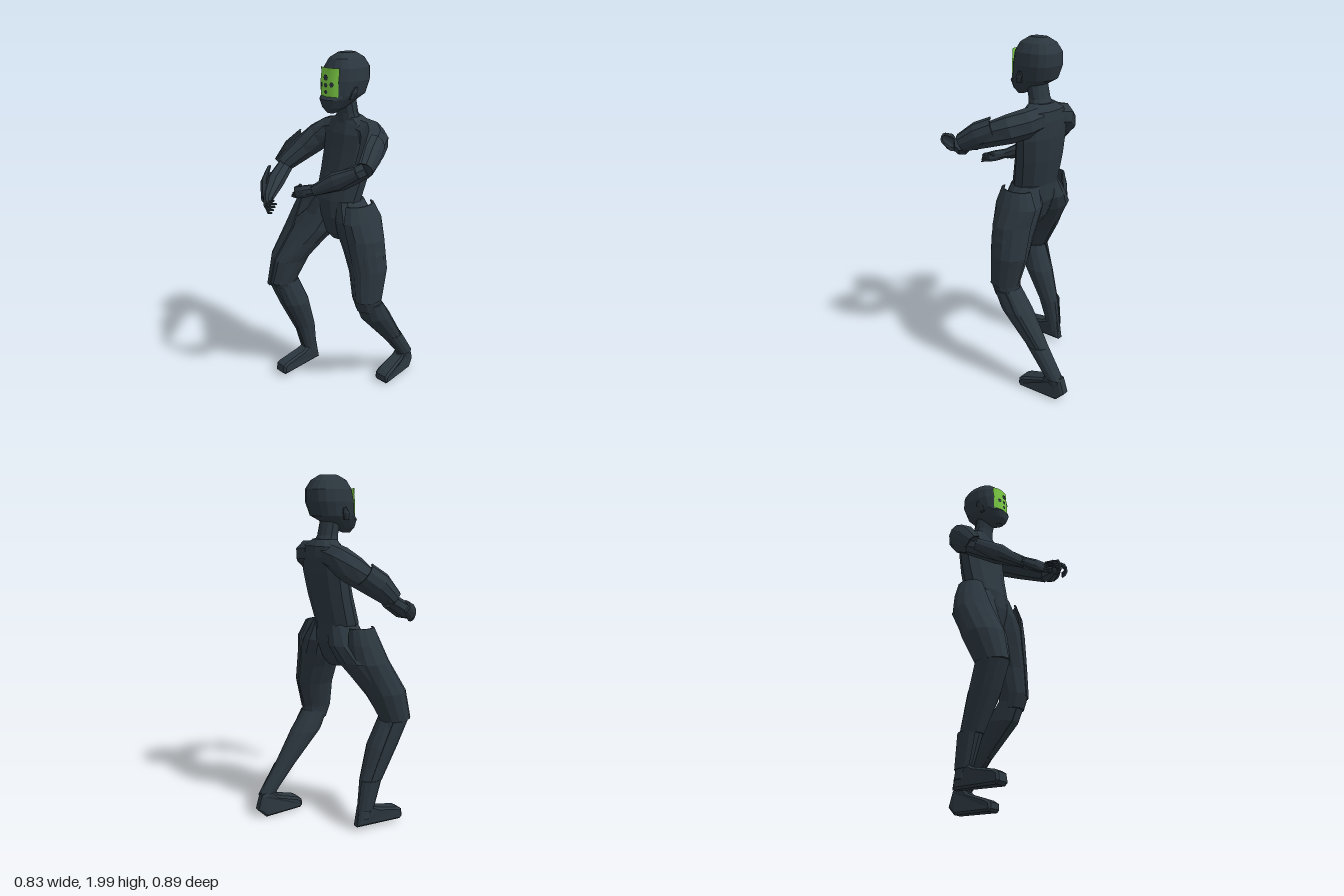
import * as THREE from 'three';

const suit = new THREE.MeshStandardMaterial({ color: 0x2b363e, flatShading: true });
suit.name = 'dark suit';
const green = new THREE.MeshStandardMaterial({ color: 0x7ac943, side: THREE.DoubleSide });
green.name = 'visor green';

const V = (x, y, z) => new THREE.Vector3(x, y, z);

// Unit cross-sections: a full polygon (squarer for power < 1), or a crescent for armour plates
const bulge = (t, power) => Math.sign(t) * Math.abs(t) ** power;
const circle = (n, power = 1) => Array.from({ length: n }, (_, i) => {
  const a = ((i + 0.5) / n) * Math.PI * 2;
  return [bulge(Math.cos(a), power), bulge(Math.sin(a), power)];
});
function crescent(mid, half, inner = 0.86, n = 6) {
  const arc = Array.from({ length: n }, (_, i) => {
    const a = mid - half + (2 * half * i) / (n - 1);
    return [Math.cos(a), Math.sin(a)];
  });
  return [...arc, ...arc.slice().reverse().map(([c, s]) => [c * inner, s * inner])];
}

// Skin a section through frames {c, u, v}, closing both ends with strips
function skin(frames, section) {
  const pos = [], idx = [], n = section.length, last = (frames.length - 1) * n;
  for (const { c, u, v } of frames)
    for (const [a, b] of section) pos.push(...c.clone().addScaledVector(u, a).addScaledVector(v, b).toArray());
  for (let r = 0; r < last; r += n)
    for (let i = 0; i < n; i++) {
      const j = (i + 1) % n;
      idx.push(r + i, r + j, r + n + j, r + i, r + n + j, r + n + i);
    }
  for (let i = 0; i < n / 2 - 1; i++) {
    const q = [i, i + 1, n - 2 - i, n - 1 - i], t = q.map((k) => k + last);
    idx.push(q[0], q[2], q[1], q[0], q[3], q[2], t[0], t[1], t[2], t[0], t[2], t[3]);
  }
  const g = new THREE.BufferGeometry();
  g.setAttribute('position', new THREE.Float32BufferAttribute(pos, 3));
  g.setIndex(idx);
  g.computeVertexNormals();
  return g;
}

// Stack of level rings [x, y, z, half width, half depth]; angle 0 is +x, -PI/2 is the front
const stack = (rings, section = circle(12)) =>
  skin([...rings].sort((a, b) => a[1] - b[1]).map(([x, y, z, rx, rz]) =>
    ({ c: V(x, y, z), u: V(rx, 0, 0), v: V(0, 0, -rz) })), section);

// Limb along a path of [x, y, z, half width, half height]
function limb(path, section = circle(8)) {
  const pts = path.map((p) => V(p[0], p[1], p[2]));
  return skin(pts.map((c, i) => {
    const d = pts[Math.min(i + 1, pts.length - 1)].clone().sub(pts[Math.max(i - 1, 0)]).normalize();
    const u = d.clone().cross(V(0, 1, 0)).normalize(), v = d.clone().cross(u);
    return { c, u: u.multiplyScalar(path[i][3]), v: v.multiplyScalar(path[i][4] ?? path[i][3]) };
  }), section);
}

// Foot: side profile of [z, y] points extruded across x, narrowed at the heel and instep, toe turned out by skew
function foot(x, width, heel, skew, profile) {
  const b = 0.012;
  const g = new THREE.ExtrudeGeometry(new THREE.Shape(profile.map((p) => new THREE.Vector2(...p))),
    { depth: width - 2 * b, bevelSize: b, bevelThickness: b, bevelOffset: -b, bevelSegments: 1 });
  g.translate(0, 0, -width / 2 + b).rotateY(-Math.PI / 2);
  const p = g.attributes.position;
  for (let i = 0; i < p.count; i++) {
    const along = p.getZ(i) - heel;
    const high = THREE.MathUtils.clamp((p.getY(i) - 0.07) / 0.08, 0, 1);
    const back = THREE.MathUtils.clamp(1 - along / 0.1, 0, 1);
    p.setX(i, p.getX(i) * (1 - 0.25 * high) * (1 - 0.5 * back) + x + skew * along);
  }
  return g;
}

export function createModel() {
  const model = new THREE.Group();
  const add = (name, geo, mat = suit) => {
    const m = new THREE.Mesh(geo, mat);
    m.name = name;
    model.add(m);
    return m;
  };

  // Torso and neck
  add('torso', stack([
    [-0.012, 0.95, -0.025, 0.06, 0.04], [-0.01, 1.0, -0.02, 0.1, 0.08], [-0.01, 1.1, -0.025, 0.145, 0.108],
    [-0.022, 1.2, -0.027, 0.153, 0.108], [-0.01, 1.35, -0.063, 0.168, 0.104], [0, 1.48, -0.085, 0.18, 0.099],
    [0, 1.57, -0.093, 0.18, 0.092], [0, 1.625, -0.1, 0.145, 0.079], [0, 1.66, -0.09, 0.078, 0.06]]));
  add('neck', stack([[0, 1.62, -0.09, 0.084, 0.068], [0, 1.68, -0.072, 0.064, 0.054], [0, 1.78, -0.05, 0.06, 0.056]]));

  // Helmet with chin guard, cheek fins and visor
  add('helmet', stack([
    [0, 1.69, 0.05, 0.024, 0.018], [0, 1.72, 0.025, 0.055, 0.068], [0, 1.765, -0.012, 0.086, 0.114],
    [0, 1.785, -0.042, 0.1, 0.122], [0, 1.86, -0.06, 0.114, 0.13], [0, 1.925, -0.066, 0.108, 0.124],
    [0, 1.972, -0.065, 0.08, 0.096], [0, 2.0, -0.065, 0.038, 0.05]], circle(16, 0.8)));
  for (const s of [-1, 1])
    add('cheekFin', stack([[s * 0.092, 1.765, -0.01, 0.01, 0.015], [s * 0.105, 1.8, -0.02, 0.012, 0.022],
      [s * 0.111, 1.83, -0.03, 0.007, 0.01]], circle(8)));
  const onVisor = (x) => -0.06 + 0.14 * (1 - (Math.abs(x) / 0.115) ** 2.2) ** 0.4545;
  const visor = new THREE.PlaneGeometry(0.14, 0.17, 12, 5);
  const vp = visor.attributes.position;
  for (let i = 0; i < vp.count; i++) {
    const y = vp.getY(i), x = vp.getX(i) * (y < -0.06 ? 0.88 : 1);
    vp.setXYZ(i, x, y + 1.845, onVisor(x) + (y < 0.04 ? 0.005 : 0));
  }
  visor.computeVertexNormals();
  add('visor', visor, green);
  for (const [x, y, r] of [[0, 1.88, 0.017], [-0.038, 1.84, 0.014], [0, 1.84, 0.013], [0.038, 1.845, 0.014], [0, 1.805, 0.012]]) {
    const dot = add('visorDot', new THREE.CircleGeometry(r, 6));
    dot.position.set(x, y, onVisor(x) + 0.009);
    dot.rotation.y = Math.atan((onVisor(x - 0.005) - onVisor(x + 0.005)) / 0.01);
  }

  // Right leg, stepping forward
  add('rightThigh', stack([
    [-0.09, 1.2, -0.03, 0.075, 0.085], [-0.125, 1.09, -0.02, 0.118, 0.115], [-0.18, 1.0, 0.02, 0.153, 0.124],
    [-0.217, 0.92, 0.073, 0.135, 0.122], [-0.258, 0.8, 0.15, 0.103, 0.118],
    [-0.27, 0.66, 0.205, 0.074, 0.092], [-0.265, 0.58, 0.165, 0.06, 0.07]]));
  add('rightShin', stack([
    [-0.262, 0.66, 0.19, 0.065, 0.085], [-0.25, 0.5, 0.13, 0.078, 0.092], [-0.25, 0.3, 0.05, 0.052, 0.066],
    [-0.252, 0.15, 0.017, 0.037, 0.05], [-0.255, 0.08, 0.005, 0.038, 0.05]]));
  add('rightThighPlate', stack([
    [-0.215, 1.19, 0.005, 0.062, 0.078], [-0.22, 1.1, 0.02, 0.098, 0.1], [-0.225, 1.0, 0.045, 0.127, 0.118],
    [-0.262, 0.82, 0.14, 0.11, 0.125], [-0.275, 0.65, 0.205, 0.075, 0.098]], crescent(Math.PI, 1.6, 0.88, 8)));
  add('rightShinPlate', stack([
    [-0.268, 0.65, 0.19, 0.085, 0.1], [-0.255, 0.5, 0.132, 0.08, 0.095], [-0.252, 0.3, 0.053, 0.058, 0.072]],
    crescent(Math.PI + 0.7, 1.2)));
  add('rightAnklePlate', stack([[-0.255, 0.31, 0.05, 0.06, 0.07], [-0.255, 0.13, 0.015, 0.044, 0.055]],
    crescent(Math.PI - 0.2, 1.2)));
  add('rightFoot', foot(-0.252, 0.09, -0.05, -0.03, [[-0.048, 0.035], [0.24, 0.025], [0.257, 0.04], [0.25, 0.085],
    [0.225, 0.1], [0.09, 0.13], [0.06, 0.145], [-0.03, 0.15]]));

  // Left leg, trailing behind
  add('leftThigh', stack([
    [0.07, 1.2, -0.03, 0.055, 0.09], [0.1, 1.09, -0.035, 0.112, 0.122], [0.15, 1.0, -0.033, 0.137, 0.121],
    [0.18, 0.92, -0.033, 0.125, 0.115], [0.21, 0.8, -0.035, 0.103, 0.111],
    [0.225, 0.65, -0.015, 0.08, 0.09], [0.225, 0.57, -0.03, 0.068, 0.075]]));
  add('leftShin', stack([
    [0.222, 0.62, -0.025, 0.07, 0.08], [0.22, 0.5, -0.097, 0.08, 0.095], [0.215, 0.3, -0.253, 0.05, 0.066],
    [0.214, 0.16, -0.36, 0.038, 0.056], [0.212, 0.08, -0.385, 0.03, 0.045]]));
  add('leftThighPlate', stack([
    [0.135, 1.19, -0.03, 0.067, 0.1], [0.145, 1.1, -0.038, 0.1, 0.135], [0.165, 1.0, -0.033, 0.125, 0.122],
    [0.207, 0.82, -0.037, 0.108, 0.114], [0.225, 0.64, -0.015, 0.083, 0.092]], crescent(0, 1.55, 0.88, 8)));
  add('leftShinPlate', stack([
    [0.222, 0.61, -0.037, 0.084, 0.088], [0.222, 0.5, -0.097, 0.082, 0.1], [0.216, 0.31, -0.246, 0.055, 0.07]],
    crescent(-0.7, 1.2)));
  add('leftAnklePlate', stack([[0.216, 0.31, -0.246, 0.057, 0.07], [0.216, 0.14, -0.37, 0.042, 0.058]],
    crescent(0.2, 1.2)));
  add('leftFoot', foot(0.203, 0.1, -0.45, 0.075, [[-0.4, 0.012], [-0.16, 0.01], [-0.147, 0.025], [-0.15, 0.06],
    [-0.18, 0.08], [-0.31, 0.125], [-0.34, 0.16], [-0.42, 0.15], [-0.447, 0.06]]));

  // Arms reaching forward with separate guards
  add('rightUpperArm', limb([[-0.07, 1.575, -0.1, 0.074], [-0.155, 1.555, -0.095, 0.078],
    [-0.225, 1.505, -0.055, 0.08], [-0.275, 1.445, 0.01, 0.07], [-0.335, 1.35, 0.12, 0.05]]));
  add('rightForearm', limb([[-0.34, 1.35, 0.09, 0.044], [-0.275, 1.278, 0.235, 0.051], [-0.19, 1.228, 0.355, 0.03]]));
  add('rightArmPlate', limb([[-0.295, 1.49, -0.03, 0.058, 0.068], [-0.315, 1.43, 0.05, 0.066, 0.072],
    [-0.335, 1.35, 0.13, 0.053, 0.053]], crescent(0, 1.5)));
  add('rightForearmPlate', limb([[-0.385, 1.315, 0.17, 0.03, 0.035], [-0.3, 1.265, 0.265, 0.045, 0.052],
    [-0.215, 1.215, 0.35, 0.026, 0.028]], crescent(0, 1.5, 0.6)));
  add('leftUpperArm', limb([[0.07, 1.58, -0.105, 0.074], [0.155, 1.57, -0.1, 0.078],
    [0.225, 1.55, -0.055, 0.078], [0.28, 1.52, 0.025, 0.068], [0.357, 1.463, 0.165, 0.048]]));
  add('leftForearm', limb([[0.365, 1.468, 0.155, 0.044], [0.285, 1.412, 0.24, 0.05], [0.18, 1.358, 0.335, 0.029]]));
  add('leftArmPlate', limb([[0.275, 1.55, 0, 0.06, 0.07], [0.315, 1.515, 0.08, 0.066, 0.07],
    [0.36, 1.465, 0.165, 0.05, 0.05]], crescent(Math.PI + 0.3, 1.4)));
  add('leftForearmPlate', limb([[0.4, 1.48, 0.25, 0.024, 0.032], [0.3, 1.425, 0.3, 0.04, 0.048],
    [0.2, 1.365, 0.36, 0.026, 0.028]], crescent(Math.PI, 1.5, 0.6)));

  // Hands: palm, four curved fingers and a thumb
  function hand(side, wrist, mid, knuckle, tip, spread, thumb) {
    add(side + 'Palm', limb([[...wrist, 0.027], [...mid, 0.021, 0.034], [...knuckle, 0.014, 0.032]]));
    for (let i = 0; i < 4; i++) {
      const k = i - 1.5;
      const start = [knuckle[0], knuckle[1] + k * 0.014, knuckle[2]];
      const end = tip.map((t, a) => t + k * spread[a]);
      const bend = start.map((p, a) => (p + end[a]) / 2 + (a === 2 ? 0.012 : 0));
      add(side + 'Finger', limb([[...start, 0.009], [...bend, 0.008], [...end, 0.005]], circle(6)));
    }
    add(side + 'Thumb', limb([[...mid, 0.012], [...thumb, 0.006]], circle(6)));
  }
  hand('right', [-0.2, 1.235, 0.345], [-0.145, 1.22, 0.395], [-0.105, 1.215, 0.42], [-0.05, 1.22, 0.42],
    [0.004, 0.016, -0.008], [-0.085, 1.25, 0.395]);
  hand('left', [0.19, 1.365, 0.33], [0.14, 1.35, 0.375], [0.1, 1.34, 0.395], [0.055, 1.335, 0.345],
    [0.008, 0.016, -0.012], [0.093, 1.375, 0.36]);

  return model;
}
